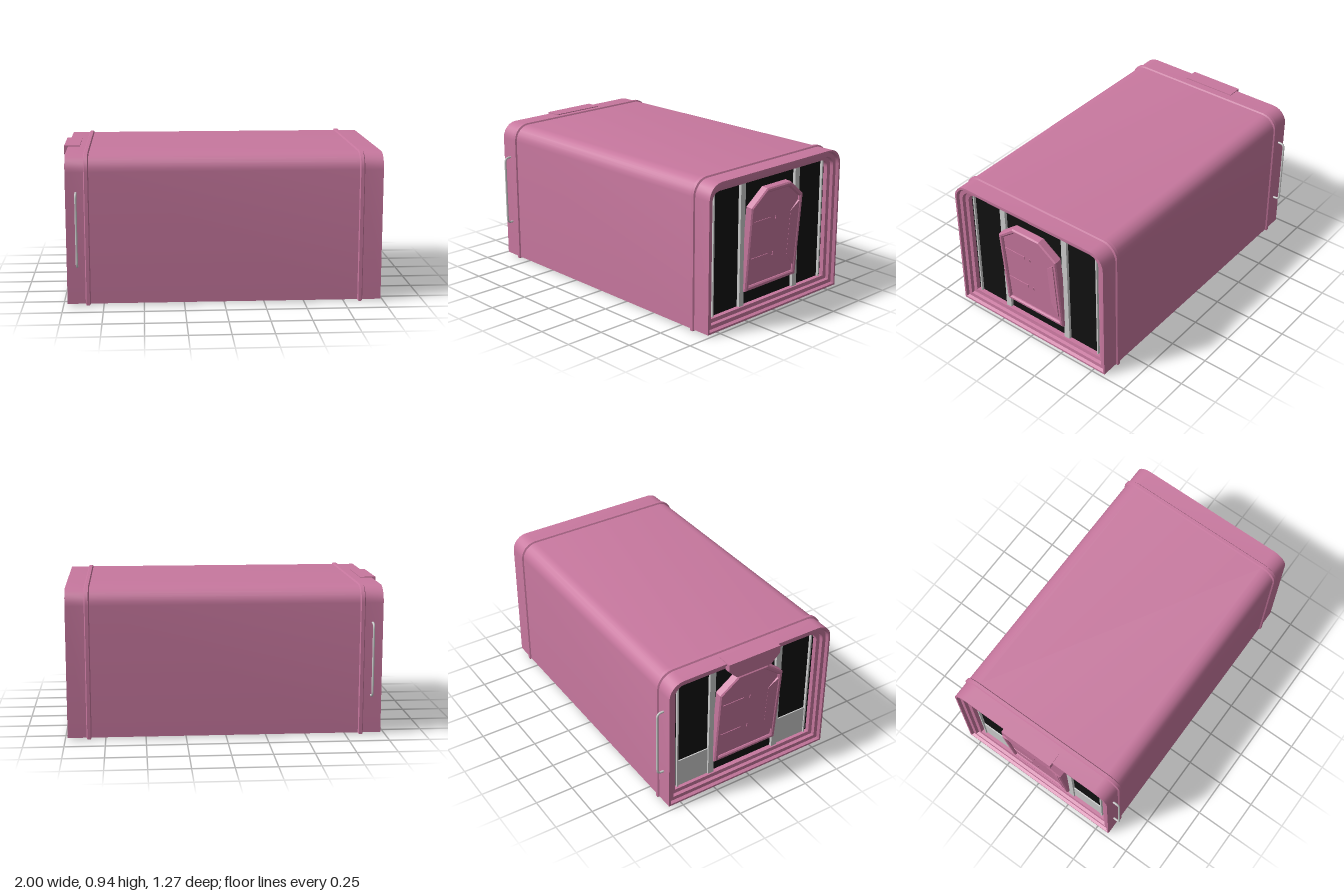
import * as THREE from 'three';
import { toCreasedNormals } from 'three/addons/utils/BufferGeometryUtils.js';

const paint = new THREE.MeshStandardMaterial({ color: 0xc8789f });
const grey = new THREE.MeshStandardMaterial({ color: 0xcccccc });
const black = new THREE.MeshStandardMaterial({ color: 0x111111 });

function add(parent, name, geometry, material, x = 0, y = 0, z = 0) {
  const mesh = new THREE.Mesh(geometry, material);
  mesh.name = name;
  mesh.position.set(x, y, z);
  parent.add(mesh);
  return mesh;
}

const box = (w, h, d) => new THREE.BoxGeometry(w, h, d);

// Hull cross-section: square at the floor, rounded at the roof
function section(inset) {
  const half = 0.587 - inset, top = 0.935 - inset, low = 0.009 + inset;
  const r = 0.1 - inset * 0.6, steps = 6;
  const points = [[half, low], [-half, low]];
  for (const side of [-1, 1]) {
    for (let i = 0; i <= steps; i++) {
      const t = (side < 0 ? i : steps - i) / steps * Math.PI / 2;
      points.push([side * (half - r + r * Math.cos(t)), top - r + r * Math.sin(t)]);
    }
  }
  return points;
}

// Skin a list of [x, inset] stations running from the back end to the front end
function hullGeometry(stations) {
  const rings = stations.map(([x, inset]) => section(inset).map(([z, y]) => [x, y, z]));
  const positions = [];
  for (let i = 0; i < rings.length - 1; i++) {
    const n = rings[i].length;
    for (let j = 0; j < n; j++) {
      const k = (j + 1) % n;
      const a = rings[i][j], b = rings[i][k], c = rings[i + 1][k], d = rings[i + 1][j];
      positions.push(...a, ...b, ...c, ...a, ...c, ...d);
    }
  }
  const geometry = new THREE.BufferGeometry();
  geometry.setAttribute('position', new THREE.Float32BufferAttribute(positions, 3));
  return toCreasedNormals(geometry, 0.5);
}

function polygon(points) {
  return points.map(([x, y]) => new THREE.Vector2(x, y));
}

// Door outline with clipped upper corners
function doorOutline(i) {
  const w = 0.23 - i, c = 0.105 - i * 0.4;
  return polygon([[-w, 0.175 + i], [w, 0.175 + i], [w, 0.72 - i * 0.4],
    [c, 0.823 - i], [-c, 0.823 - i], [-w, 0.72 - i * 0.4]]);
}

function extrude(shape, depth, bevel = 0) {
  return new THREE.ExtrudeGeometry(shape, {
    depth: depth - bevel, bevelEnabled: bevel > 0, bevelThickness: bevel,
    bevelSize: bevel, bevelOffset: -bevel, bevelSegments: 1,
  });
}

function createDoor() {
  const door = new THREE.Group();
  door.name = 'door';
  const rim = new THREE.Shape(doorOutline(0));
  rim.holes.push(new THREE.Path(doorOutline(0.03)));
  add(door, 'doorFrame', extrude(rim, 0.05, 0.008), paint);
  add(door, 'doorPanel', extrude(new THREE.Shape(doorOutline(0.025)), 0.035), paint);
  // hinge straps and small catches
  for (const y of [0.372, 0.612]) {
    add(door, 'hingeStrap', box(0.155, 0.02, 0.006), paint, -0.12, y, 0.036);
    add(door, 'catch', box(0.004, 0.024, 0.008), paint, 0.003, y, 0.036);
  }
  // wedge-shaped grip along the opening edge
  const grip = new THREE.Shape(polygon([[0.2, 0.25], [0.2, 0.68], [0.14, 0.62], [0.14, 0.33]]));
  const gripGeometry = extrude(grip, 0.015);
  const p = gripGeometry.attributes.position;
  for (let i = 0; i < p.count; i++) {
    if (p.getX(i) < 0.17 && p.getZ(i) > 0.01) p.setZ(i, 0.002);
  }
  gripGeometry.computeVertexNormals();
  add(door, 'doorGrip', gripGeometry, paint, 0, 0, 0.034);
  // lean the top outwards
  door.rotation.x = 0.08;
  door.position.z = -0.1;
  return door;
}

// One end wall, built facing +z with its rim at z = 0
function createEnd(name) {
  const end = new THREE.Group();
  end.name = name;
  add(end, 'darkGlazing', box(1.08, 0.84, 0.02), black, 0, 0.473, -0.085);
  for (const side of [-1, 1]) {
    add(end, 'widePost', box(0.04, 0.8, 0.025), grey, side * 0.244, 0.473, -0.068);
    add(end, 'narrowPost', box(0.01, 0.8, 0.02), grey, side * 0.488, 0.473, -0.068);
  }
  end.add(createDoor());
  return end;
}

function createHandle(side) {
  const z = [0.58, 0.618, 0.63].map((v) => v * side);
  const path = new THREE.CurvePath();
  const v = (y, d) => new THREE.Vector3(0, y, d);
  path.add(new THREE.LineCurve3(v(0.25, z[0]), v(0.25, z[1] - side * 0.015)));
  path.add(new THREE.QuadraticBezierCurve3(v(0.25, z[1] - side * 0.015), v(0.25, z[2]), v(0.28, z[2])));
  path.add(new THREE.LineCurve3(v(0.28, z[2]), v(0.68, z[2])));
  path.add(new THREE.QuadraticBezierCurve3(v(0.68, z[2]), v(0.71, z[2]), v(0.71, z[1] - side * 0.015)));
  path.add(new THREE.LineCurve3(v(0.71, z[1] - side * 0.015), v(0.71, z[0])));
  return new THREE.TubeGeometry(path, 60, 0.007, 8);
}

export function createModel() {
  const model = new THREE.Group();
  model.name = 'containerModule';

  // stepped end rim as [depth, inset], and a raised rib around the hull
  const rim = [[0.085, 0.07], [0.045, 0.07], [0.04, 0.048], [0.02, 0.043],
    [0.018, 0.02], [0, 0.012], [0, 0]];
  const rib = (x) => [[x - 0.016, 0], [x - 0.01, -0.009], [x + 0.01, -0.009], [x + 0.016, 0]];
  const stations = [
    ...rim.map(([d, i]) => [-0.975 + d, i]),
    ...rib(-0.847), ...rib(0.853),
    ...rim.map(([d, i]) => [0.985 - d, i]).reverse(),
  ];
  add(model, 'hull', hullGeometry(stations), paint);

  const rightEnd = createEnd('plainEnd');
  rightEnd.rotation.y = Math.PI / 2;
  rightEnd.position.x = 0.985;
  const leftEnd = createEnd('hoodedEnd');
  leftEnd.rotation.y = -Math.PI / 2;
  leftEnd.position.x = -0.975;
  model.add(rightEnd, leftEnd);

  // low grey panels and the hood over the door, on one end only
  for (const side of [-1, 1]) {
    add(leftEnd, 'lowPanel', box(0.22, 0.2, 0.01), grey, side * 0.373, 0.175, -0.072);
  }
  const hood = new THREE.Shape(polygon([[-0.13, 0.83], [0.12, 0.83], [0.18, 0.89],
    [0.18, 0.94], [-0.19, 0.94], [-0.19, 0.89]]));
  add(leftEnd, 'hood', extrude(hood, 0.04), paint, 0, 0, -0.015);
  add(leftEnd, 'hoodTop', box(0.37, 0.012, 0.1), paint, -0.005, 0.934, -0.025);

  // grab handles on both long sides
  for (const side of [-1, 1]) {
    add(model, 'grabHandle', createHandle(side), grey, -0.91);
  }
  return model;
}
